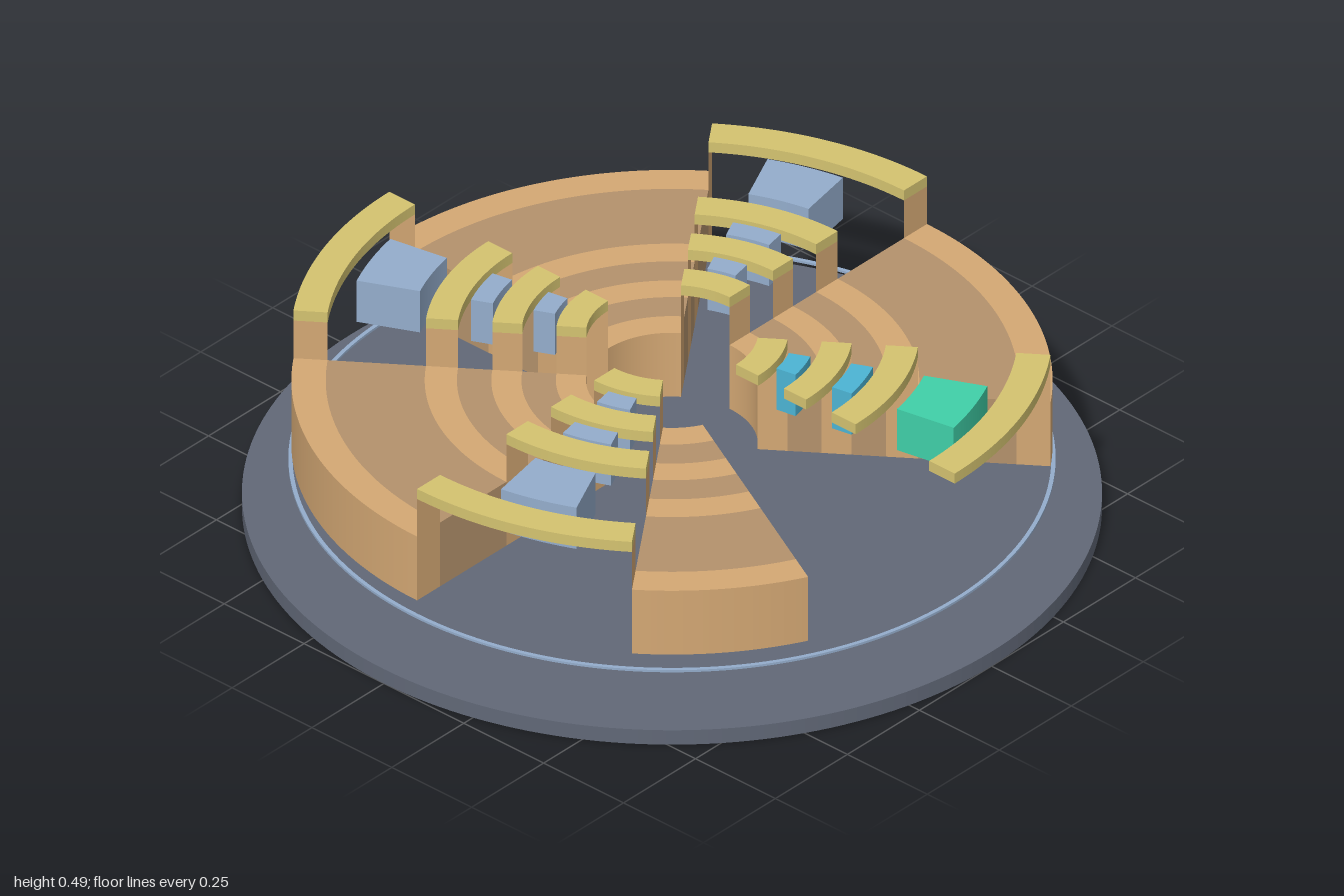
import * as THREE from 'three';

const mat = (name, color, extra = {}) => {
  const m = new THREE.MeshStandardMaterial({ color, ...extra });
  m.name = name;
  return m;
};
const rad = THREE.MathUtils.degToRad;

// Annular sector between two radii and two angles (degrees, counterclockwise seen from above)
function sector(r0, r1, a0, a1, y0, y1) {
  const s = new THREE.Shape();
  s.absarc(0, 0, r1, rad(a0), rad(a1), false);
  s.absarc(0, 0, r0, rad(a1), rad(a0), true);
  s.closePath();
  const g = new THREE.ExtrudeGeometry(s, {
    depth: y1 - y0, bevelEnabled: false, curveSegments: Math.max(6, Math.ceil((a1 - a0) / 2)),
  });
  return g.rotateX(-Math.PI / 2).translate(0, y0, 0);
}

// Full ring with a rectangular section
function ring(r0, r1, y0, y1) {
  const s = new THREE.Shape().absarc(0, 0, r1, 0, Math.PI * 2, false);
  s.holes.push(new THREE.Path().absarc(0, 0, r0, 0, Math.PI * 2, true));
  const g = new THREE.ExtrudeGeometry(s, { depth: y1 - y0, bevelEnabled: false, curveSegments: 96 });
  return g.rotateX(-Math.PI / 2).translate(0, y0, 0);
}

export function createModel() {
  const model = new THREE.Group();
  model.name = 'layeredDisc';
  const slate = mat('slate', 0x616877);
  const paleBlue = mat('paleBlue', 0x94adcc);
  const tan = mat('tan', 0xd4a874);
  const brown = mat('brown', 0xb4926c);
  const yellow = mat('yellow', 0xd4c370);
  const green = mat('green', 0x40d0a8);
  const cyan = mat('cyan', 0x4cb4d4);
  const tanPlate = mat('tanPlate', 0xd4a874, { side: THREE.DoubleSide });

  const add = (name, geometry, material, parent = model) => {
    const m = new THREE.Mesh(geometry, material);
    m.name = name;
    parent.add(m);
    return m;
  };

  const bottom = 0.175, deck = 0.353, beam = 0.458, top = 0.486;
  const radii = [0.2, 0.27, 0.35, 0.42, 0.5, 0.575, 0.805, 0.885];

  // Base plate with centre hole, and the thin floating hoop above it
  add('basePlate', ring(0.027, 1, 0, 0.04), slate);
  add('hoop', ring(0.882, 0.892, 0.13, 0.136), paleBlue);

  // Striped wedges; the last one is cut short
  for (const [a0, a1] of [[36, 90], [126, 180], [216, 270], [306, 333]]) {
    const wedge = new THREE.Group();
    wedge.name = 'wedge';
    model.add(wedge);
    for (let i = 0; i < 7; i++) {
      add(i % 2 ? 'darkTrack' : 'lightTrack',
        sector(radii[i], radii[i + 1], a0, a1, bottom, deck), i % 2 ? brown : tan, wedge);
    }
    // Thin upright plates on the wedge edges carry the bridges
    for (const a of a1 === 333 ? [a0] : [a0, a1]) {
      for (let i = 0; i < 7; i += 2) {
        const w = radii[i + 1] - radii[i];
        const g = new THREE.PlaneGeometry(w, beam - deck);
        g.translate(radii[i] + w / 2, (beam + deck) / 2, 0).rotateY(rad(a));
        add('bridgePost', g, tanPlate, wedge);
      }
    }
  }

  // Curved bridges over each gap, with blocks hung between them
  const blocks = [[0.284, 0.336], [0.435, 0.488], [0.612, 0.766]];
  for (const a of [0, 90, 180, 270]) {
    const gap = new THREE.Group();
    gap.name = 'gap';
    model.add(gap);
    for (let i = 0; i < 7; i += 2) {
      add('bridge', sector(radii[i], radii[i + 1], a, a + 36, beam, top), yellow, gap);
    }
    blocks.forEach(([r0, r1], i) => {
      const paint = a ? paleBlue : i === 2 ? green : cyan;
      add('block', sector(r0, r1, a + 10.8, a + 25.2, 0.369, 0.484), paint, gap);
    });
  }
  return model;
}
